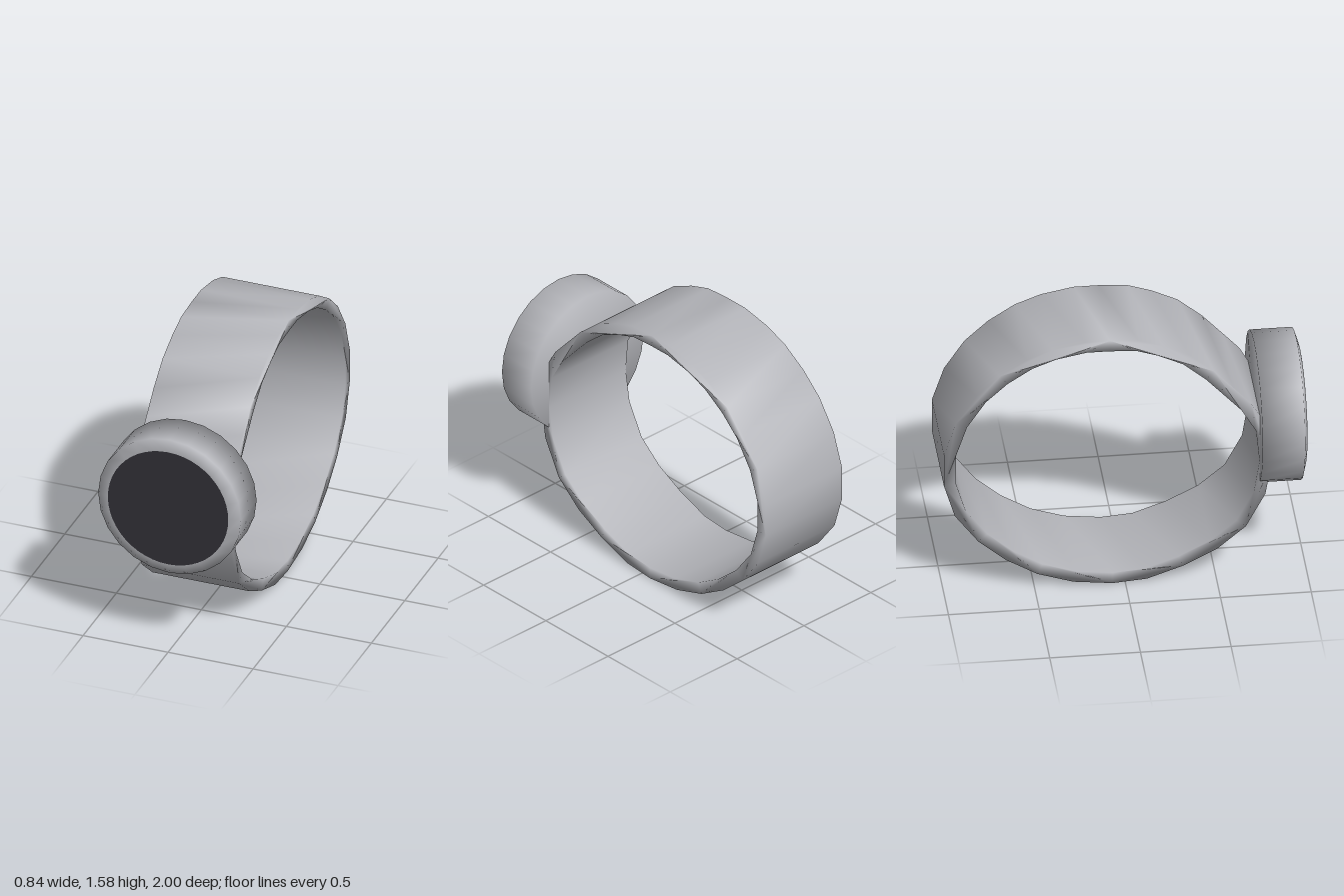
import * as THREE from 'three';
import { mergeVertices } from 'three/addons/utils/BufferGeometryUtils.js';

const metal = new THREE.MeshStandardMaterial({ color: 0xb4b5ba });
metal.name = 'grey metal';
const glass = new THREE.MeshStandardMaterial({ color: 0x323137 });
glass.name = 'dark glass';

const BAND_WIDTH = 0.57, BAND_THICKNESS = 0.067;
const CASE_Y = 0.91;

// Outer outline of the band as [z, y], seen from the side
const OUTLINE = [
  [-0.07, 0], [-0.286, 0.025], [-0.484, 0.09], [-0.66, 0.195], [-0.81, 0.325],
  [-0.94, 0.5], [-1, 0.7], [-1, 0.9], [-0.933, 1.1], [-0.82, 1.27],
  [-0.69, 1.39], [-0.543, 1.485], [-0.4, 1.54], [-0.22, 1.575], [-0.083, 1.575],
  [0.075, 1.565], [0.21, 1.52], [0.355, 1.45], [0.49, 1.335], [0.6, 1.215],
  [0.695, 1.11], [0.785, 0.95], [0.807, 0.73], [0.773, 0.52], [0.665, 0.315],
  [0.505, 0.18], [0.32, 0.085], [0.12, 0.015],
];

// Move a closed counter-clockwise outline inwards by a fixed distance
function inset(points, distance) {
  const n = points.length;
  return points.map((p, i) => {
    const along = points[(i + 1) % n].clone().sub(points[(i + n - 1) % n]).normalize();
    return new THREE.Vector2(p.x - along.y * distance, p.y + along.x * distance);
  });
}

// Wide oval strap with softly shaded edges
function createBand() {
  const outer = OUTLINE.map(([z, y]) => new THREE.Vector2(-z, y));
  const shape = new THREE.Shape(outer);
  shape.holes.push(new THREE.Path(inset(outer, BAND_THICKNESS)));
  let geometry = new THREE.ExtrudeGeometry(shape, { depth: BAND_WIDTH, bevelEnabled: false });
  geometry.translate(0, 0, -BAND_WIDTH / 2);
  geometry.rotateY(Math.PI / 2);
  geometry.deleteAttribute('uv');
  geometry.deleteAttribute('normal');
  geometry = mergeVertices(geometry, 1e-4);
  geometry.computeVertexNormals();
  const band = new THREE.Mesh(geometry, metal);
  band.name = 'band';
  return band;
}

// Round case with a narrow sloping rim
function createCase() {
  const profile = [[0, 0.742], [0.42, 0.742], [0.42, 0.977], [0.352, 0.997], [0, 0.997]];
  const geometry = new THREE.LatheGeometry(profile.map(([r, z]) => new THREE.Vector2(r, z)), 24);
  geometry.rotateX(Math.PI / 2);
  const body = new THREE.Mesh(geometry, metal);
  body.name = 'case';
  body.position.y = CASE_Y;
  return body;
}

// Flat dark dial on the front of the case
function createDial() {
  const dial = new THREE.Mesh(new THREE.CircleGeometry(0.354, 48), glass);
  dial.name = 'dial';
  dial.position.set(0, CASE_Y, 1);
  return dial;
}

export function createModel() {
  const model = new THREE.Group();
  model.name = 'wristwatch';
  model.add(createBand(), createCase(), createDial());
  return model;
}
